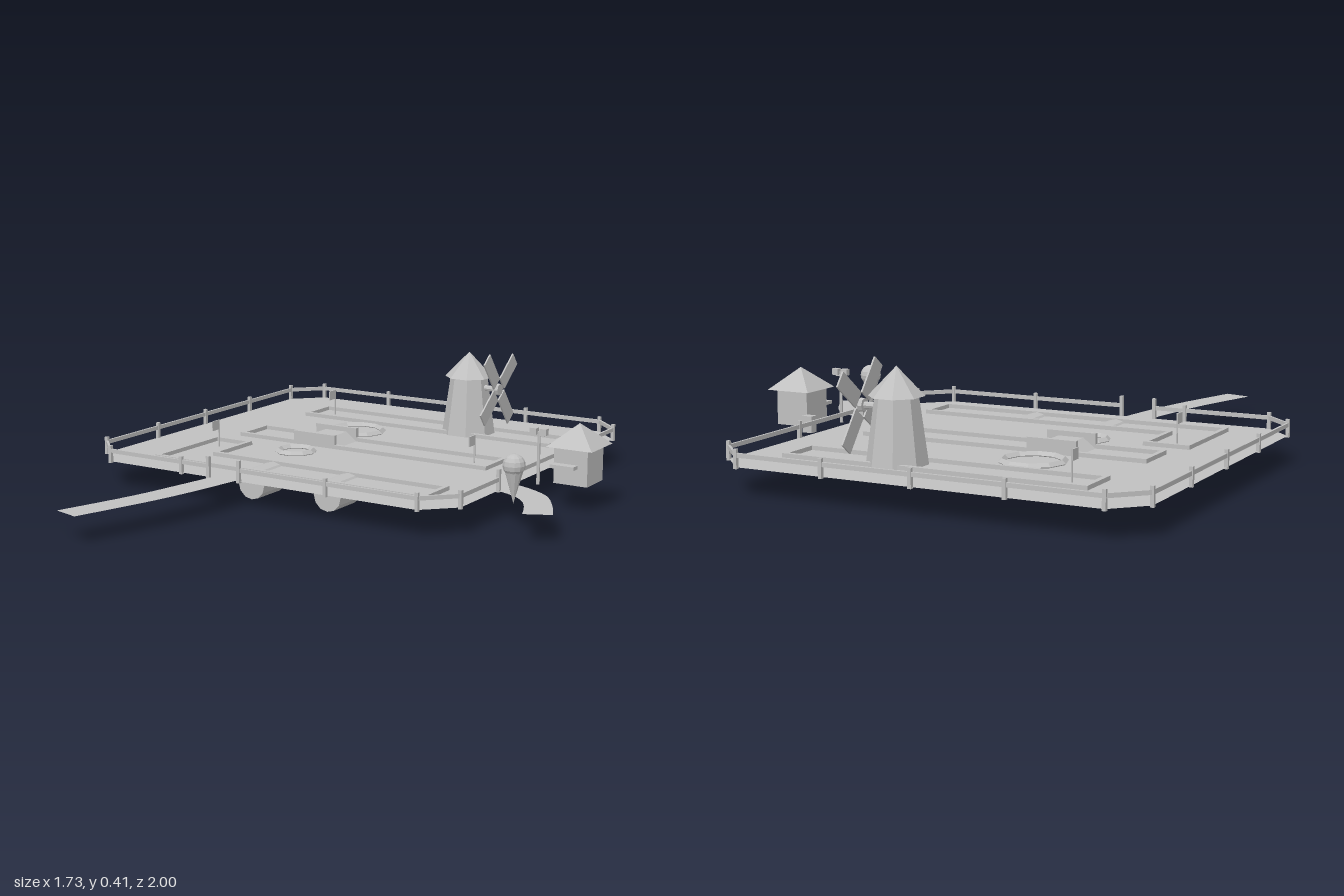
import * as THREE from 'three';

const grey = new THREE.MeshStandardMaterial({ color: 0xc0c0c0, flatShading: true, side: THREE.DoubleSide });
grey.name = 'plain grey';
const G = 0.093; // ground level

export function createModel() {
  const root = new THREE.Group();
  root.name = 'miniGolfCourse';

  const add = (name, geo, x = 0, y = 0, z = 0, parent = root) => {
    const m = new THREE.Mesh(geo, grey);
    m.name = name;
    m.position.set(x, y, z);
    parent.add(m);
    return m;
  };
  // box from minimum and maximum corners
  const box = (name, x0, x1, y0, y1, z0, z1, parent) =>
    add(name, new THREE.BoxGeometry(x1 - x0, y1 - y0, z1 - z0), (x0 + x1) / 2, (y0 + y1) / 2, (z0 + z1) / 2, parent);
  const group = (name) => {
    const g = new THREE.Group();
    g.name = name;
    root.add(g);
    return g;
  };
  // plan outlines are lists of [x, z]
  const plan = (pts) => pts.map(([x, z]) => new THREE.Vector2(x, -z));
  const sheet = (name, pts) =>
    add(name, new THREE.ShapeGeometry(new THREE.Shape(plan(pts))).rotateX(-Math.PI / 2), 0, G, 0);

  // ground with cut corners
  sheet('ground', [[-0.86, -0.9], [-0.76, -1], [0.475, -1], [0.575, -0.9],
    [0.575, 0.26], [0.475, 0.36], [-0.76, 0.36], [-0.86, 0.26]]);

  // curved paths, each between two edge curves
  const path = (name, a, b) => {
    const curve = (p) => new THREE.SplineCurve(p.map(([x, z]) => new THREE.Vector2(x, z)))
      .getPoints(12).map((v) => [v.x, v.y]);
    sheet(name, [...curve(a), ...curve(b).reverse()]);
  };
  path('frontPath', [[-0.325, 0.36], [-0.35, 0.5], [-0.39, 0.7], [-0.47, 0.965]],
    [[-0.226, 0.36], [-0.258, 0.556], [-0.3, 0.74], [-0.376, 0.99]]);
  path('sidePath', [[0.575, -0.1], [0.647, -0.075], [0.742, -0.012], [0.816, 0.1], [0.86, 0.187]],
    [[0.575, 0.01], [0.64, 0.037], [0.695, 0.08], [0.737, 0.143], [0.774, 0.228]]);

  // lane borders: square-cornered outlines, clockwise seen from above
  const lane = (name, pts, w = 0.016) => {
    const n = pts.length;
    const inner = pts.map(([x, z], i) => {
      const [px, pz] = pts[(i + n - 1) % n], [qx, qz] = pts[(i + 1) % n];
      const dx = Math.sign(x - px) + Math.sign(qx - x), dz = Math.sign(z - pz) + Math.sign(qz - z);
      return [x - dz * w, z + dx * w];
    });
    const s = new THREE.Shape(plan(pts));
    s.holes.push(new THREE.Path(plan(inner)));
    const geo = new THREE.ExtrudeGeometry(s, { depth: 0.019, bevelEnabled: false });
    add(name, geo.rotateX(-Math.PI / 2), 0, 0.088, 0);
  };
  const rect = (x0, x1, z0, z1) => [[x0, z0], [x1, z0], [x1, z1], [x0, z1]];
  lane('backLaneBorder', rect(-0.62, 0.437, -0.81, -0.65));
  lane('middleLaneBorder', rect(-0.62, 0.41, -0.38, -0.217));
  lane('frontLaneBorder', [[-0.657, -0.116], [-0.495, -0.116], [-0.495, 0.085],
    [0.437, 0.085], [0.437, 0.243], [-0.657, 0.243]]);

  // humps: round logs half sunk under the front lane
  for (const x of [-0.247, 0.06])
    add('laneHump', new THREE.CylinderGeometry(0.053, 0.053, 0.132, 12).rotateX(Math.PI / 2), x, 0.053, 0.171);

  // ring obstacles
  for (const [z, r] of [[-0.513, 0.1], [-0.108, 0.063]])
    add('ringObstacle', new THREE.TorusGeometry(r, 0.012, 4, 10).rotateX(Math.PI / 2), -0.297, 0.096, z);

  // ramp bridge with low side walls
  const bridge = group('bridge');
  const ramp = new THREE.Shape([[-0.38, G], [-0.205, G], [-0.247, 0.125], [-0.337, 0.125]]
    .map(([x, y]) => new THREE.Vector2(x, y)));
  add('bridgeRamp', new THREE.ExtrudeGeometry(ramp, { depth: 0.132, bevelEnabled: false }), 0, 0, -0.364, bridge);
  for (const z of [-0.38, -0.233])
    box('bridgeSide', -0.38, -0.205, 0.088, 0.142, z, z + 0.016, bridge);

  // hole flags
  for (const [x, z] of [[-0.533, -0.73], [0.322, -0.298], [-0.58, -0.03]]) {
    const flag = group('flag');
    add('flagPole', new THREE.CylinderGeometry(0.003, 0.003, 0.1, 6), x, G + 0.05, z, flag);
    box('flagCloth', x - 0.002, x + 0.002, 0.157, 0.192, z, z + 0.04, flag);
  }

  // fence: posts and a single rail along each run, gaps at both gates
  const fence = group('fence');
  const post = (x, z, top = 0.15) => box('fencePost', x - 0.006, x + 0.006, 0.088, top, z - 0.006, z + 0.006, fence);
  const run = (a, b, parts) => {
    const dx = b[0] - a[0], dz = b[1] - a[1];
    const rail = add('fenceRail', new THREE.BoxGeometry(Math.hypot(dx, dz), 0.014, 0.008),
      (a[0] + b[0]) / 2, 0.131, (a[1] + b[1]) / 2, fence);
    rail.rotation.y = -Math.atan2(dz, dx);
    for (let i = 0; i < parts; i++) post(a[0] + dx * i / parts, a[1] + dz * i / parts);
  };
  run([-0.21, 0.36], [0.475, 0.36], 2);
  run([0.475, 0.36], [0.575, 0.26], 1);
  run([0.575, 0.26], [0.575, 0.005], 1);
  run([0.575, -0.12], [0.575, -0.9], 2);
  run([0.575, -0.9], [0.475, -1], 1);
  run([0.475, -1], [-0.76, -1], 4);
  run([-0.76, -1], [-0.86, -0.9], 1);
  run([-0.86, -0.9], [-0.86, 0.26], 4);
  run([-0.86, 0.26], [-0.76, 0.36], 1);
  run([-0.76, 0.36], [-0.335, 0.36], 1);
  post(-0.45, 0.36);
  for (const [x, z] of [[-0.335, 0.36], [-0.21, 0.36], [0.575, 0.005], [0.575, -0.12]]) post(x, z, 0.165);

  // windmill
  const mill = group('windmill');
  mill.position.set(0.063, 0, -0.73);
  add('windmillTower', new THREE.CylinderGeometry(0.069, 0.1, 0.225, 8).rotateY(Math.PI / 8), 0, 0.1945, 0, mill);
  add('windmillRoof', new THREE.ConeGeometry(0.089, 0.093, 8).rotateY(Math.PI / 8), 0, 0.3525, 0, mill);
  add('windmillAxle', new THREE.CylinderGeometry(0.011, 0.011, 0.07, 8).rotateZ(Math.PI / 2), 0.09, 0.268, 0, mill);
  add('windmillHub', new THREE.CylinderGeometry(0.022, 0.022, 0.016, 8).rotateZ(Math.PI / 2), 0.123, 0.268, 0, mill);
  for (let i = 0; i < 4; i++) {
    const blade = add('windmillBlade', new THREE.BoxGeometry(0.006, 0.128, 0.055).translate(0, 0.094, 0),
      0.125, 0.268, 0, mill);
    blade.rotation.x = -0.91 + i * Math.PI / 2;
  }

  // ticket hut with pyramid roof and counter
  const hut = group('hut');
  box('hutWalls', 0.675, 0.797, 0.09, 0.214, -0.318, -0.195, hut);
  add('hutRoof', new THREE.ConeGeometry(0.117, 0.075, 4).rotateY(Math.PI / 4), 0.735, 0.2505, -0.262, hut);
  box('hutCounter', 0.675, 0.762, 0.148, 0.16, -0.2, -0.162, hut);

  // twin lamp
  const lamp = group('lamp');
  add('lampPole', new THREE.CylinderGeometry(0.005, 0.006, 0.18, 6), 0.632, 0.175, -0.168, lamp);
  box('lampArm', 0.612, 0.652, 0.25, 0.256, -0.171, -0.165, lamp);
  for (const x of [0.614, 0.65])
    box('lampHead', x - 0.012, x + 0.012, 0.254, 0.276, -0.178, -0.158, lamp);

  // litter bin
  box('litterBin', 0.6, 0.638, 0.088, 0.145, -0.402, -0.372);

  // giant ice cream
  const ice = group('iceCream');
  add('iceCreamCone', new THREE.ConeGeometry(0.031, 0.11, 10).rotateX(Math.PI), 0.683, 0.143, 0.11, ice);
  add('iceCreamScoop', new THREE.SphereGeometry(0.037, 12, 8), 0.683, 0.213, 0.11, ice);

  return root;
}
